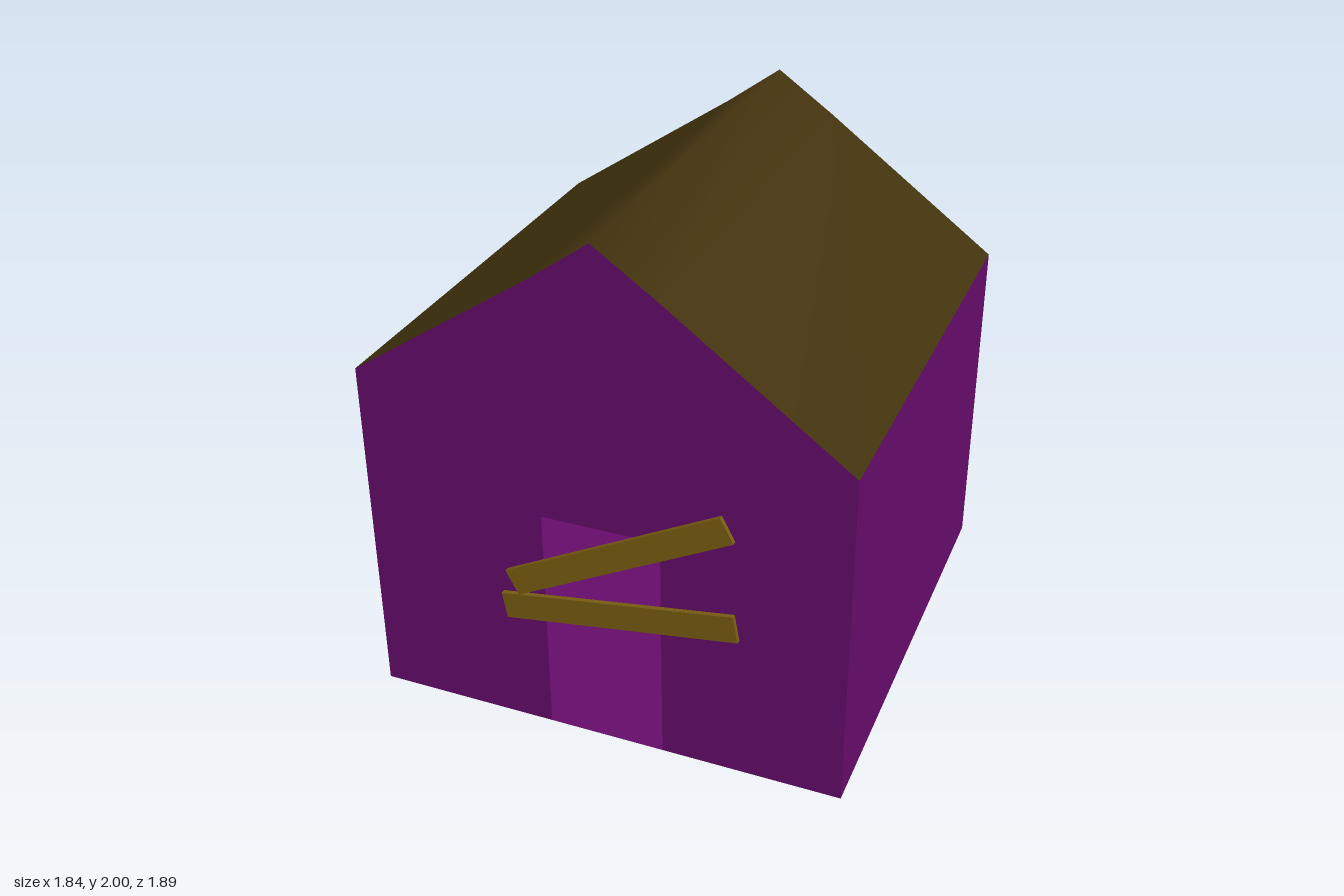
import * as THREE from 'three';

const FRONT = 0.89, BACK = -0.945, DEPTH = FRONT - BACK, MID = (FRONT + BACK) / 2;
// roof line, from the right eave (-x) over the ridge to the left eave (+x)
const ROOF = [[-0.92, 1.37], [-0.22, 1.84], [0, 2], [0.23, 1.84], [0.915, 1.335]];
const DOOR = { x0: -0.22, x1: 0.23, top: 0.92 };

const material = (color) => new THREE.MeshStandardMaterial({ color, side: THREE.DoubleSide });

function addMesh(parent, name, geometry, mat) {
  const mesh = new THREE.Mesh(geometry, mat);
  mesh.name = name;
  parent.add(mesh);
  return mesh;
}

// gable wall outline, optionally notched by the doorway
function gable(withDoor) {
  const pts = [[-0.92, 0]];
  if (withDoor) pts.push([DOOR.x0, 0], [DOOR.x0, DOOR.top], [DOOR.x1, DOOR.top], [DOOR.x1, 0]);
  pts.push([0.915, 0], ...[...ROOF].reverse());
  return new THREE.ShapeGeometry(new THREE.Shape(pts.map(([x, y]) => new THREE.Vector2(x, y))));
}

// thin roof sheet swept along z, with normals shared over the ridge
function roofSheet() {
  const positions = [], index = [];
  ROOF.forEach(([x, y], i) => {
    positions.push(x, y, FRONT, x, y, BACK);
    if (i < ROOF.length - 1) {
      const a = i * 2;
      index.push(a, a + 2, a + 1, a + 2, a + 3, a + 1);
    }
  });
  const g = new THREE.BufferGeometry();
  g.setAttribute('position', new THREE.Float32BufferAttribute(positions, 3));
  g.setIndex(index);
  g.computeVertexNormals();
  return g;
}

export function createModel() {
  const house = new THREE.Group();
  house.name = 'boardedHouse';
  const wallMat = material(0x660d6c);
  const roofMat = material(0x43330e);
  const plankMat = material(0x7b5e12);

  // hollow shell: gable walls, side walls and floor
  addMesh(house, 'frontWall', gable(true), wallMat).position.z = FRONT;
  const back = gable(false);
  back.scale(-1, 1, 1).rotateY(Math.PI);
  // mirroring flips the winding, so turn the faces outward again
  back.index.array.reverse();
  back.computeVertexNormals();
  addMesh(house, 'backWall', back, wallMat).position.z = BACK;

  for (const [name, x, height, turn] of [
    ['rightWall', -0.92, 1.37, -Math.PI / 2],
    ['leftWall', 0.915, 1.335, Math.PI / 2],
  ]) {
    const wall = addMesh(house, name, new THREE.PlaneGeometry(DEPTH, height), wallMat);
    wall.position.set(x, height / 2, MID);
    wall.rotation.y = turn;
  }
  const floor = addMesh(house, 'floor', new THREE.PlaneGeometry(1.835, DEPTH), wallMat);
  floor.rotation.x = Math.PI / 2;
  floor.position.set(-0.0025, 0, MID);

  addMesh(house, 'roof', roofSheet(), roofMat);

  // two crooked planks nailed across the doorway
  for (const [name, length, y, z, tilt, lean] of [
    ['upperPlank', 0.926, 0.84, 0.912, 0.483, -0.005],
    ['lowerPlank', 0.92, 0.59, 0.917, 0.18, -0.038],
  ]) {
    const plank = addMesh(house, name, new THREE.BoxGeometry(length, 0.105, 0.018), plankMat);
    plank.position.set(0.074, y, z);
    plank.rotation.set(0, lean, tilt, 'YXZ');
  }
  return house;
}
